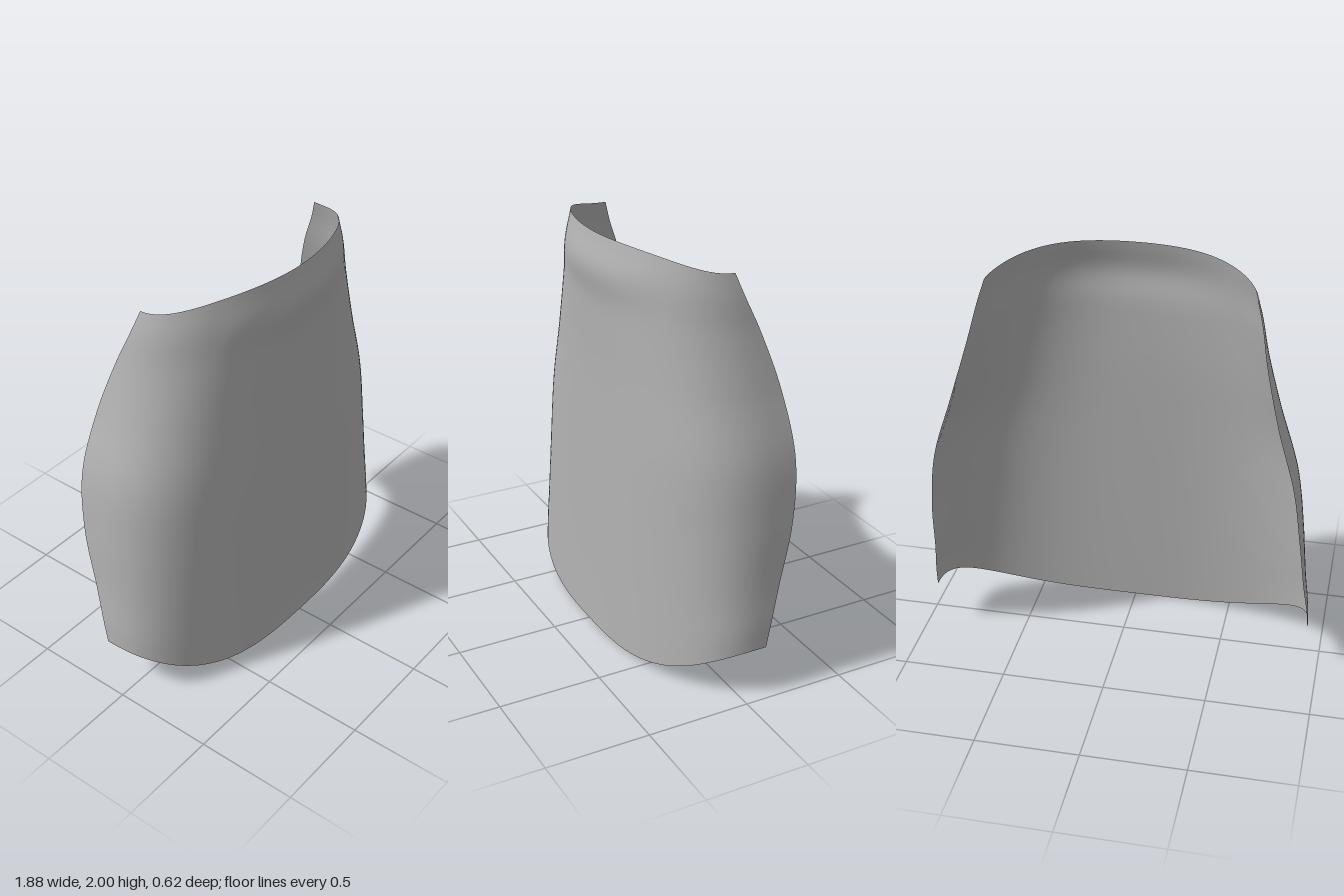
import * as THREE from 'three';

// Cross-sections from hem to top: height fraction, half width, front z, side-edge z, squareness
const sections = [
  [0.00, 0.940, 0.310, -0.130, 2.65],
  [0.06, 0.938, 0.306, -0.155, 2.7],
  [0.16, 0.924, 0.300, -0.202, 2.8],
  [0.34, 0.904, 0.291, -0.282, 2.9],
  [0.515, 0.864, 0.284, -0.310, 2.9],
  [0.69, 0.770, 0.280, -0.280, 2.7],
  [0.85, 0.690, 0.284, -0.205, 2.35],
  [0.94, 0.652, 0.282, -0.145, 2.15],
  [1.00, 0.620, 0.270, -0.110, 2.0],
];
const profile = new THREE.CubicInterpolant(
  sections.map((s) => s[0]), sections.flatMap((s) => s.slice(1)), 4);

export function createModel() {
  const group = new THREE.Group();
  group.name = 'curvedPanel';
  const grey = new THREE.MeshStandardMaterial({ color: 0xb2b2b2, side: THREE.DoubleSide });
  grey.name = 'plain grey';

  // One sheet wrapped around a squarish half-oval whose size changes with height
  const sheet = new THREE.PlaneGeometry(2, 1, 64, 60);
  const pos = sheet.attributes.position;
  for (let i = 0; i < pos.count; i++) {
    const u = THREE.MathUtils.clamp(pos.getX(i), -1, 1);
    const v = THREE.MathUtils.clamp(pos.getY(i) + 0.5, 0, 1);
    const [width, front, edge, n] = profile.evaluate(v);
    const t = Math.abs(u) * Math.PI / 2;
    const across = Math.pow(Math.sin(t), 2 / n);
    const forward = Math.pow(Math.max(0, Math.cos(t)), 2 / n);
    // The side edges curl in slightly at mid height
    const curl = 1 - 0.025 * Math.sin(Math.PI * v) * Math.pow(Math.abs(u), 8);
    // A shallow swelling below the middle of the top edge
    const swell = 0.022 * Math.exp(-(((v - 0.92) / 0.05) ** 2)) * Math.max(0, 1 - 2 * across * across);
    // Hem rises and top edge drops towards the sides
    const hem = 0.23 * Math.pow(across, 3);
    const top = 2 - 0.08 * Math.pow(across, 4);
    pos.setXYZ(i, Math.sign(u) * width * across * curl,
      THREE.MathUtils.lerp(hem, top, v), edge + (front - edge) * forward + swell);
  }
  sheet.computeVertexNormals();

  const shell = new THREE.Mesh(sheet, grey);
  shell.name = 'shell';
  group.add(shell);
  return group;
}
